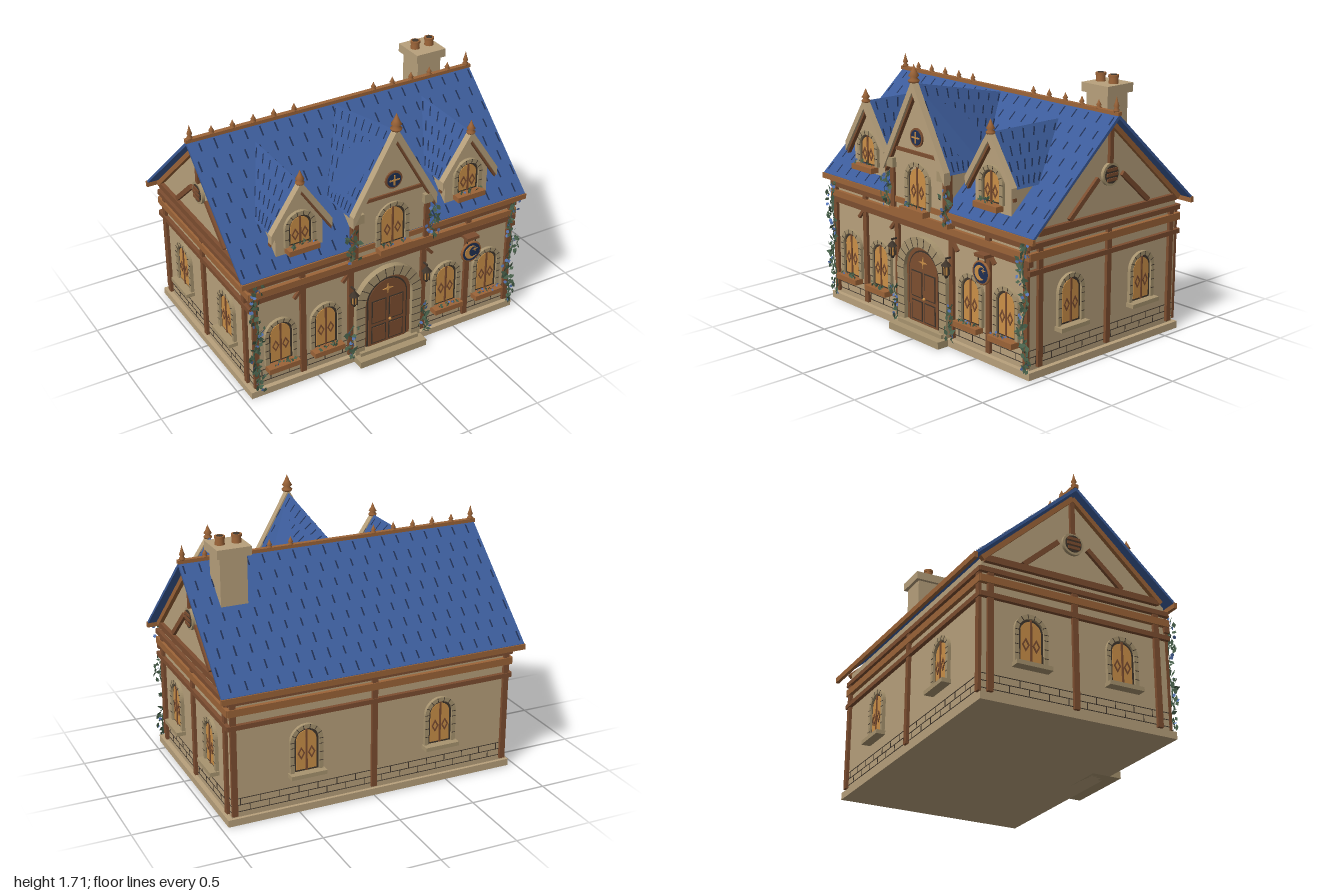
import * as THREE from 'three';
import { mergeGeometries } from 'three/addons/utils/BufferGeometryUtils.js';

const V = (x, y, z) => new THREE.Vector3(x, y, z);
const mat = (name, color, side = THREE.FrontSide) => {
  const m = new THREE.MeshStandardMaterial({ color, side });
  m.name = name;
  return m;
};
const plaster = mat('plaster', 0xb8a17c), stone = mat('stone', 0xa8946f), timber = mat('timber', 0x7d4e30);
const copper = mat('copper', 0x9c6438), roofBlue = mat('roofBlue', 0x3c5c9a, THREE.DoubleSide);
const navy = mat('navy', 0x1f2f52, THREE.DoubleSide), amber = mat('amber', 0xcb9048), iron = mat('iron', 0x40362c);
const leaf = mat('leaf', 0x47604a, THREE.DoubleSide), bloom = mat('bloom', 0x5878b8, THREE.DoubleSide);

let seed = 7;
const rnd = () => (seed = (seed * 16807) % 2147483647) / 2147483647;

function add(parent, name, geo, material, x = 0, y = 0, z = 0, rz = 0) {
  const m = new THREE.Mesh(geo, material);
  m.name = name;
  m.position.set(x, y, z);
  m.rotation.z = rz;
  parent.add(m);
  return m;
}
const box = (p, name, m, w, h, d, x, y, z, rz = 0) => add(p, name, new THREE.BoxGeometry(w, h, d), m, x, y, z, rz);
const bar = (p, name, m, x0, y0, x1, y1, t, d, z) =>
  box(p, name, m, Math.hypot(x1 - x0, y1 - y0), t, d, (x0 + x1) / 2, (y0 + y1) / 2, z, Math.atan2(y1 - y0, x1 - x0));
const extrude = (shape, depth) => new THREE.ExtrudeGeometry(shape, { depth, bevelEnabled: false, curveSegments: 14 });
const poly = pts => new THREE.Shape(pts.map(p => new THREE.Vector2(p[0], p[1])));
function arch(hw, y0, spring) {
  const s = new THREE.Shape();
  s.moveTo(-hw, y0).lineTo(hw, y0).lineTo(hw, spring).absarc(0, spring, hw, 0, Math.PI, false);
  s.closePath();
  return s;
}
function disc(p, name, m, r, d, x, y, z) {
  return add(p, name, new THREE.CylinderGeometry(r, r, d, 24).rotateX(Math.PI / 2), m, x, y, z);
}
const group = (parent, name, x = 0, y = 0, z = 0, ry = 0) => {
  const g = new THREE.Group();
  g.name = name; g.position.set(x, y, z); g.rotation.y = ry;
  parent.add(g);
  return g;
};

// Stone arch with dark joints, standing on y = 0
function stoneArch(p, hw, spring, t, depth, n) {
  const s = arch(hw + t, 0, spring);
  s.holes.push(arch(hw, 0, spring));
  add(p, 'archStones', extrude(s, depth), stone);
  for (let i = 0; i <= n; i++) {
    const a = Math.PI * i / n, r = hw + t / 2;
    box(p, 'archJoint', iron, t, 0.004, 0.003, Math.cos(a) * r, spring + Math.sin(a) * r, depth, a);
  }
  for (let y = 0.055; y < spring - 0.02; y += 0.055)
    for (const s of [-1, 1]) box(p, 'jambJoint', iron, t, 0.004, 0.003, s * (hw + t / 2), y, depth);
}

// Clusters of small leaves with a few blooms
function foliage(p, n, place, size) {
  const sets = [[], []];
  for (let i = 0; i < n; i++) {
    const flower = rnd() < 0.2;
    const g = new THREE.CircleGeometry(size * (flower ? 0.6 : 0.7 + rnd() * 0.6), flower ? 6 : 4);
    if (!flower) g.scale(1, 0.6, 1);
    g.rotateX((rnd() - 0.5) * 1.8).rotateZ(rnd() * 6).rotateY((rnd() - 0.5) * 1.8);
    const q = place(i / n);
    sets[flower ? 1 : 0].push(g.translate(q.x, q.y, q.z));
  }
  sets.forEach((s, i) => s.length && add(p, i ? 'blooms' : 'leaves', mergeGeometries(s), i ? bloom : leaf));
}

// Arched window with two leaves, facing +z
function windowUnit(p, x, y, z, hw, spring, planter) {
  const g = group(p, 'window', x, y, z);
  stoneArch(g, hw, spring, 0.026, 0.022, 7);
  add(g, 'frame', extrude(arch(hw, 0, spring), 0.008), iron);
  add(g, 'panes', extrude(arch(hw - 0.015, 0.012, spring), 0.012), amber);
  box(g, 'mullion', timber, 0.012, spring + hw - 0.01, 0.008, 0, (spring + hw) / 2, 0.014);
  for (const s of [-1, 1]) {
    const d = k => [[0, -0.042 * k], [0.024 * k, 0], [0, 0.042 * k], [-0.024 * k, 0]];
    const sh = poly(d(1));
    sh.holes.push(poly(d(0.6)));
    add(g, 'diamond', extrude(sh, 0.004), timber, s * hw * 0.42, spring * 0.6, 0.012);
  }
  if (planter) {
    box(g, 'planter', copper, 2 * hw + 0.05, 0.035, 0.06, 0, -0.015, 0.04);
    foliage(g, 16, () => V((rnd() - 0.5) * 2 * hw, 0.008 + rnd() * 0.025, 0.03 + rnd() * 0.04), 0.013);
  } else box(g, 'sill', stone, 2 * hw + 0.07, 0.026, 0.06, 0, -0.013, 0.03);
}

// Timber frame and stone courses of one wall, facing +z
function wallFrame(p, hw, posts, beams, gap) {
  for (const u of posts) box(p, 'post', timber, 0.036, 0.74, 0.02, u, 0.43, 0.01);
  beams.forEach(([y, h, m]) => box(p, 'beam', m, 2 * hw + 0.04, h, 0.035, 0, y, 0.008));
  for (const s of [-1, 1]) for (let r = 0; r < 3; r++) {
    const y = 0.08 + r * 0.043;
    box(p, 'courseJoint', iron, hw - gap, 0.004, 0.003, s * (hw + gap) / 2, y, 0.001);
    if (r < 2) for (let u = gap + 0.06 + r * 0.06; u < hw; u += 0.125)
      box(p, 'brickJoint', iron, 0.004, 0.043, 0.003, s * u, y + 0.0215, 0.001);
  }
}

// Roof quad a-b along the ridge, d-c along the eave, with tile dashes
const lerp = (a, b, t) => a.clone().lerp(b, t);
function panel(p, [a, b, c, d], rows, cols, skin) {
  const quads = [], at = (s, t) => lerp(lerp(a, b, s), lerp(d, c, s), t);
  const n = b.clone().sub(a).cross(d.clone().sub(a)).normalize();
  if (n.y < 0) n.negate();
  const make = list => {
    const g = new THREE.BufferGeometry();
    g.setAttribute('position', new THREE.Float32BufferAttribute(
      list.flatMap(q => [0, 2, 1, 0, 3, 2].flatMap(i => q[i].toArray())), 3));
    g.computeVertexNormals();
    return g;
  };
  if (skin) add(p, 'roofPanel', make([[a, b, c, d]]), roofBlue);
  for (let r = 0; r < rows; r++) for (let k = 0; k < cols; k++) {
    const s = (k + (r % 2 ? 0.3 : 0.75)) / cols, m = at(s, (r + 0.5) / rows).addScaledVector(n, 0.005);
    const e = at(s, 1).sub(at(s, 0)).setLength(0.026 + 0.008 * rnd()), w = e.clone().cross(n).setLength(0.005);
    quads.push([m.clone().add(e).add(w), m.clone().add(e).sub(w), m.clone().sub(e).sub(w), m.clone().sub(e).add(w)]);
  }
  add(p, 'tileDashes', make(quads), navy);
}

const finialGeo = new THREE.LatheGeometry([[0, 0], [0.02, 0], [0.024, 0.012], [0.013, 0.026], [0.022, 0.036], [0.012, 0.06], [0, 0.1]]
  .map(q => new THREE.Vector2(...q)), 10);
const finial = (p, x, y, z, s, w = s) => add(p, 'finial', finialGeo, copper, x, y, z).scale.set(w, s, w);

// Chevron bargeboard with a timber inner edge
function bargeboard(p, hw, top, low, t, z, d) {
  const chev = (o, th) => poly([[-hw, low - o], [0, top - o], [hw, low - o], [hw, low - o - th], [0, top - o - th], [-hw, low - o - th]]);
  add(p, 'bargeboard', extrude(chev(0, t), d), plaster, 0, 0, z);
  add(p, 'bargeTrim', extrude(chev(t, 0.022), d - 0.015), timber, 0, 0, z);
}

export function createModel() {
  const house = new THREE.Group();
  house.name = 'house';
  const roofY = z => 1.46 - 0.909 * Math.abs(z + 0.05);
  const alongX = (pts, len) => extrude(poly(pts), len).rotateY(-Math.PI / 2).translate(len / 2, 0, 0);

  // Body, plinth and steps
  add(house, 'walls', alongX([[-0.64, 0], [0.58, 0], [0.58, 0.84], [-0.05, 1.42], [-0.64, 0.87]], 1.85), plaster);
  box(house, 'plinth', plaster, 1.91, 0.045, 1.27, 0, 0.0225, -0.025);
  box(house, 'lowerStep', stone, 0.48, 0.045, 0.2, 0, 0.0225, 0.59);
  box(house, 'upperStep', stone, 0.42, 0.03, 0.08, 0, 0.055, 0.6);

  // Main roof
  add(house, 'mainRoof', alongX([[0.62, 0.835], [0.62, 0.855], [-0.05, 1.46], [-0.715, 0.855], [-0.715, 0.835], [-0.05, 1.435]], 1.99), roofBlue);
  for (const z of [0.62, -0.715])
    panel(house, [V(-1, 1.46, -0.05), V(1, 1.46, -0.05), V(1, 0.855, z), V(-1, 0.855, z)], 8, 20, false);
  box(house, 'frontEave', copper, 2, 0.035, 0.022, 0, 0.835, 0.618);
  box(house, 'backEave', copper, 2, 0.035, 0.022, 0, 0.835, -0.712);
  box(house, 'ridgeBeam', copper, 2, 0.022, 0.03, 0, 1.465, -0.05);
  for (const s of [-1, 1]) {
    finial(house, s * 0.97, 1.472, -0.05, 0.95, 0.8);
    for (let i = 0; i < 5; i++) finial(house, s * (0.28 + i * 0.1375), 1.472, -0.05, 0.55, 0.75);
  }

  // Four framed walls
  const sideBeams = [[0.79, 0.03, timber], [0.73, 0.045, copper], [0.635, 0.03, timber]];
  const front = group(house, 'frontWall', 0, 0, 0.58);
  wallFrame(front, 0.925, [-0.91, -0.59, -0.26, 0.26, 0.59, 0.91], [[0.79, 0.03, timber], [0.73, 0.04, copper], [0.69, 0.036, timber]], 0.25);
  for (const x of [-0.745, -0.435, 0.435, 0.745]) windowUnit(front, x, 0.2, 0, 0.08, 0.205, true);
  for (const s of [-1, 1]) for (const x of [0.59, 0.26])
    bar(front, 'brace', timber, s * (x + 0.06), 0.62, s * (x + 0.015), 0.67, 0.02, 0.02, 0.015);
  const back = group(house, 'backWall', 0, 0, -0.64, Math.PI);
  wallFrame(back, 0.925, [-0.91, 0, 0.91], sideBeams, 0);
  for (const x of [-0.45, 0.45]) windowUnit(back, x, 0.265, 0, 0.08, 0.2, false);
  for (const s of [-1, 1]) {
    const side = group(house, s > 0 ? 'leftWall' : 'rightWall', s * 0.925, 0, -0.03, s * Math.PI / 2);
    wallFrame(side, 0.61, [-0.54 * s, 0.015 * s, 0.56 * s], sideBeams, 0);
    for (const u of [-0.295, 0.305]) windowUnit(side, s * u, 0.265, 0, 0.08, 0.2, false);
    const gable = group(side, 'gable', s * 0.018);
    box(gable, 'tieBeam', timber, 1.16, 0.04, 0.03, 0, 0.86, 0.01);
    box(gable, 'kingPost', timber, 0.03, 0.25, 0.02, 0, 1.29, 0.01);
    for (const k of [-1, 1]) {
      bar(gable, 'rake', copper, k * 0.6, 0.855, 0, 1.405, 0.03, 0.03, 0.012);
      bar(gable, 'brace', timber, k * 0.33, 0.885, k * 0.1, 1.09, 0.03, 0.02, 0.01);
    }
    disc(gable, 'ventRing', stone, 0.07, 0.02, 0, 1.1, 0.01);
    disc(gable, 'vent', iron, 0.055, 0.024, 0, 1.1, 0.012);
    for (let i = -1; i <= 1; i++) box(gable, 'ventSlat', timber, 0.09 - 0.01 * Math.abs(i), 0.018, 0.012, 0, 1.1 + i * 0.03, 0.024);
  }

  // Small dormers
  for (const s of [-1, 1]) {
    const d = group(house, 'dormer', s * 0.585);
    add(d, 'dormerWall', extrude(poly([[-0.155, 0.9], [0.155, 0.9], [0.155, 1.12], [0, 1.36], [-0.155, 1.12]]), 0.33), plaster, 0, 0, 0.22);
    for (const k of [-1, 1])
      panel(d, [V(0, 1.385, 0.57), V(0, 1.385, 0.03), V(k * 0.19, 1.08, 0.36), V(k * 0.19, 1.08, 0.57)], 4, 6, true);
    bargeboard(d, 0.2, 1.395, 1.095, 0.06, 0.548, 0.044);
    windowUnit(d, 0, 0.97, 0.55, 0.076, 0.12, true);
    finial(d, 0, 1.375, 0.57, 0.9, 1.2);
  }

  // Central gable
  const c = group(house, 'centralGable');
  box(c, 'bay', plaster, 0.46, 0.33, 0.42, 0, 0.925, 0.41);
  add(c, 'gableWall', extrude(poly([[-0.25, 1.04], [0.25, 1.04], [0.25, 1.1], [0, 1.54], [-0.25, 1.1]]), 0.1), plaster, 0, 0, 0.53);
  for (const k of [-1, 1]) {
    panel(c, [V(0, 1.59, 0.64), V(0, 1.445, -0.045), V(k * 0.29, 1.08, 0.35), V(k * 0.29, 1.08, 0.64)], 6, 8, true);
    box(c, 'bayPost', timber, 0.035, 0.32, 0.05, k * 0.25, 0.92, 0.61);
    box(c, 'corbel', stone, 0.06, 0.06, 0.06, k * 0.24, 1.07, 0.63);
  }
  bargeboard(c, 0.29, 1.61, 1.1, 0.075, 0.625, 0.045);
  box(c, 'collarBeam', timber, 0.4, 0.022, 0.02, 0, 1.165, 0.632);
  box(c, 'bayBeam', copper, 0.56, 0.03, 0.06, 0, 0.768, 0.61);
  disc(c, 'roundWindowFrame', timber, 0.058, 0.02, 0, 1.26, 0.63);
  disc(c, 'roundWindow', navy, 0.046, 0.024, 0, 1.26, 0.632);
  box(c, 'glazingBar', amber, 0.07, 0.009, 0.006, 0, 1.26, 0.645);
  box(c, 'glazingBar', amber, 0.009, 0.07, 0.006, 0, 1.26, 0.645);
  windowUnit(c, 0, 0.825, 0.622, 0.088, 0.17, true);
  finial(c, 0, 1.595, 0.65, 1.1, 1.5);

  // Door
  const door = group(house, 'door', 0, 0.05, 0.58);
  stoneArch(door, 0.17, 0.35, 0.065, 0.04, 11);
  add(door, 'doorFrame', extrude(arch(0.17, 0, 0.35), 0.012), timber);
  add(door, 'doorGap', extrude(arch(0.145, 0, 0.35), 0.016), iron);
  add(door, 'doorLeaf', extrude(arch(0.135, 0.005, 0.35), 0.02), timber);
  for (const s of [-1, 1]) for (const [y, h] of [[0.1, 0.13], [0.27, 0.17]]) {
    box(door, 'panelRecess', iron, 0.105, h, 0.004, s * 0.062, y, 0.021);
    box(door, 'doorPanel', timber, 0.09, h - 0.016, 0.008, s * 0.062, y, 0.022);
  }
  const star = k => poly(Array.from({ length: 8 }, (_, i) => {
    const r = i % 2 ? 0.2 * k : k, a = i * Math.PI / 4;
    return [Math.cos(a) * r, Math.sin(a) * r];
  }));
  add(door, 'doorStar', extrude(star(0.04), 0.005), amber, 0, 0.42, 0.02);
  add(door, 'doorKnob', new THREE.SphereGeometry(0.01, 10, 8), amber, 0.015, 0.19, 0.03);

  // Lanterns
  for (const s of [-1, 1]) {
    const l = group(house, 'lantern', s * 0.26, 0.45, 0.635);
    add(l, 'lanternGlass', new THREE.CylinderGeometry(0.022, 0.015, 0.06, 6), amber, 0, 0.045);
    add(l, 'lanternCap', new THREE.ConeGeometry(0.034, 0.04, 6), iron, 0, 0.095);
    add(l, 'lanternBase', new THREE.CylinderGeometry(0.018, 0.008, 0.02, 6), iron, 0, 0.008);
    for (let i = 0; i < 6; i++) box(l, 'lanternBar', iron, 0.006, 0.06, 0.006, Math.cos(i * 1.0472) * 0.02, 0.045, Math.sin(i * 1.0472) * 0.02);
    box(l, 'lanternArm', iron, 0.01, 0.01, 0.06, 0, 0.12, -0.025);
  }

  // Hanging moon sign
  const sign = group(house, 'hangingSign', 0.585, 0.565, 0.64);
  disc(sign, 'signBoard', navy, 0.066, 0.016, 0, 0, 0);
  add(sign, 'signRim', new THREE.TorusGeometry(0.066, 0.009, 8, 28), copper);
  const moon = new THREE.Shape();
  moon.absarc(0, 0, 0.046, 0.9, 5.5, false);
  moon.absarc(0.021, 0.002, 0.036, 5.3, 1.1, true);
  add(sign, 'moon', extrude(moon, 0.004), amber, -0.004, 0, 0.008);
  add(sign, 'signStar', extrude(star(0.02), 0.004), amber, 0.025, 0.018, 0.008);
  box(sign, 'signBracket', timber, 0.09, 0.02, 0.08, 0, 0.105, -0.02);
  for (const s of [-1, 1]) box(sign, 'signChain', iron, 0.006, 0.04, 0.006, s * 0.03, 0.08, 0);

  // Chimney
  box(house, 'chimney', plaster, 0.17, 0.45, 0.17, 0.742, 1.33, -0.21);
  box(house, 'chimneyCap', plaster, 0.215, 0.055, 0.215, 0.742, 1.565, -0.21);
  for (const x of [0.688, 0.792]) {
    add(house, 'chimneyPot', new THREE.CylinderGeometry(0.026, 0.03, 0.05, 14), copper, x, 1.615, -0.21);
    add(house, 'chimneyPotRim', new THREE.CylinderGeometry(0.032, 0.032, 0.015, 14), copper, x, 1.637, -0.21);
    add(house, 'chimneyPotMouth', new THREE.CylinderGeometry(0.02, 0.02, 0.004, 14), iron, x, 1.645, -0.21);
  }

  // Climbing vines
  for (const s of [-1, 1]) for (const [x, y0, y1, z, n] of [[0.915, 0.05, 0.82, 0.61, 85], [0.265, 0.05, 0.28, 0.61, 24], [0.28, 0.79, 1.0, 0.645, 24]]) {
    const vine = group(house, 'vine');
    const sway = t => V(s * x + Math.sin(t * 14) * 0.018, y0 + (y1 - y0) * t, z);
    const path = new THREE.CatmullRomCurve3(Array.from({ length: 12 }, (_, i) => sway(i / 11)));
    add(vine, 'vineStem', new THREE.TubeGeometry(path, 24, 0.004, 5), leaf);
    foliage(vine, n, t => sway(t).add(V((rnd() - 0.5) * 0.07, 0, rnd() * 0.025)), 0.02);
  }
  return house;
}
